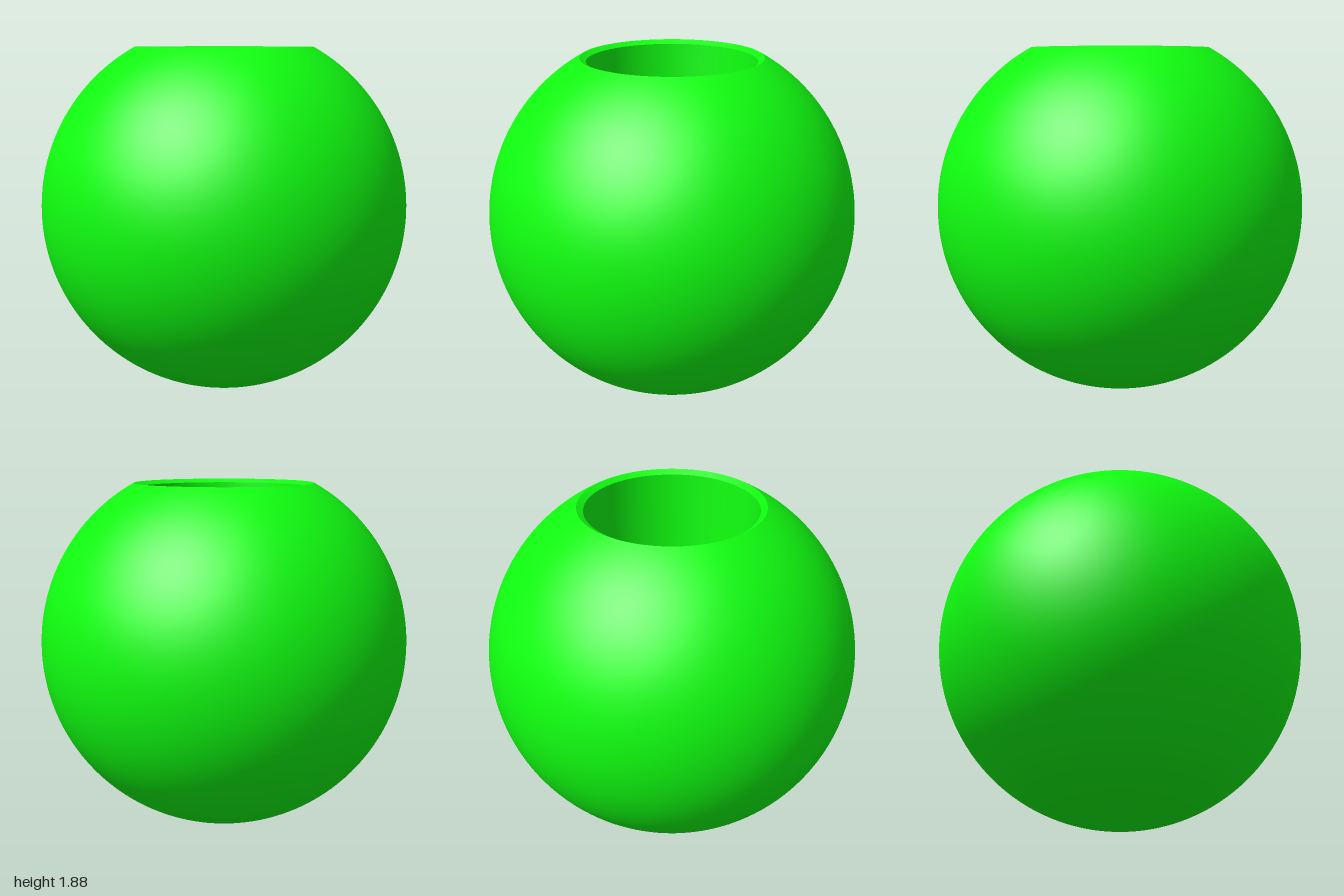
import * as THREE from 'three';

const RIM_Y = 1.875;
const RIM_R = Math.sqrt(1 - (RIM_Y - 1) ** 2);
const HOLE_R = 0.45;
const CHAMFER_Y = RIM_Y - 0.02;
const FLOOR_R = 0.41;
const FLOOR_Y = 0.82;

export function createModel() {
  const group = new THREE.Group();
  group.name = 'ballKnob';
  const material = new THREE.MeshStandardMaterial({ color: 0x10ff10 });

  // Each surface is its own lathe, so the edges between them stay sharp
  const addLathe = (name, profile) => {
    const points = profile.map(([r, y]) => new THREE.Vector2(r, y));
    const mesh = new THREE.Mesh(new THREE.LatheGeometry(points, 128), material);
    mesh.name = name;
    group.add(mesh);
  };

  // Sphere from the bottom pole up to the flat cut
  const ball = [];
  const endAngle = Math.PI - Math.asin(RIM_R);
  for (let i = 0; i <= 64; i++) {
    const a = (endAngle * i) / 64;
    ball.push([Math.sin(a), 1 - Math.cos(a)]);
  }
  addLathe('ball', ball);

  // Countersunk blind hole with slightly tapered wall
  addLathe('rimChamfer', [[RIM_R, RIM_Y], [HOLE_R, CHAMFER_Y]]);
  addLathe('holeWall', [[HOLE_R, CHAMFER_Y], [FLOOR_R, FLOOR_Y]]);
  addLathe('holeFloor', [[FLOOR_R, FLOOR_Y], [0, FLOOR_Y]]);

  return group;
}
